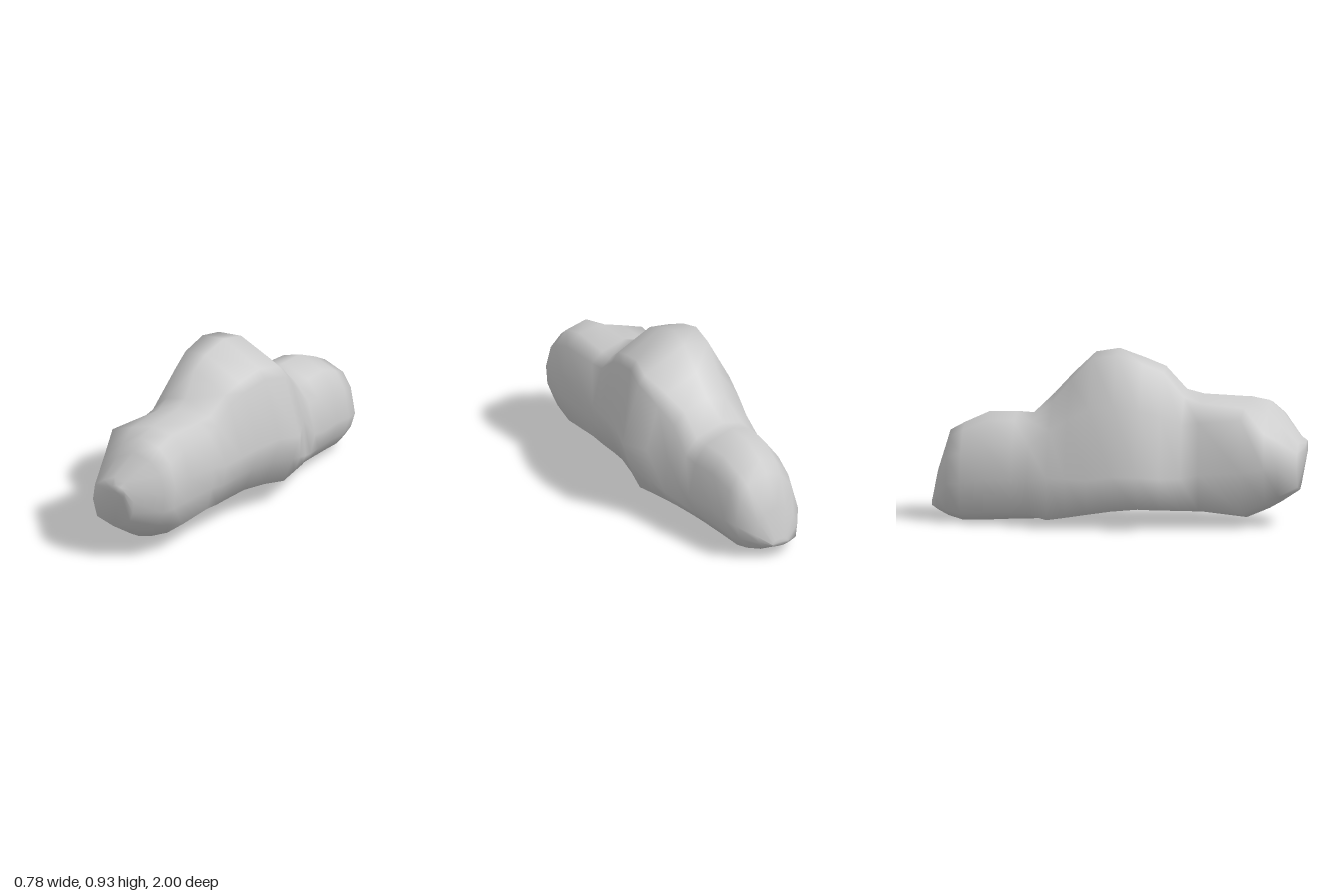
import * as THREE from 'three';

const stone = new THREE.MeshStandardMaterial({ color: 0xcccccc });
stone.name = 'pale grey stone';

// Cross-section outlines, counter-clockwise from the right, in a unit box
const outlines = [
  // nose
  [[1, .6], [.93, .82], [.78, .95], [.53, 1], [.28, .88], [.05, .73],
    [0, .42], [.1, .1], [.5, 0], [.72, .08], [.9, .2], [.98, .38]],
  // front lobe
  [[1, .63], [.94, .88], [.78, .97], [.53, 1], [.26, .93], [.01, .86],
    [.02, .42], [.06, .08], [.5, 0], [.72, .08], [.92, .2], [.98, .42]],
  // central hump
  [[1, .43], [.87, .81], [.82, .87], [.5, 1], [.31, .98], [.13, .68],
    [0, .25], [.04, .03], [.45, 0], [.68, .02], [.86, .09], [.94, .26]],
  // shoulder behind the hump
  [[.98, .58], [.91, .84], [.8, .94], [.57, 1], [.38, .95], [.17, .74],
    [0, .38], [0, .04], [.42, 0], [.81, .06], [.97, .18], [1, .26]],
  // rear lobe
  [[1, .42], [.93, .74], [.8, .91], [.5, 1], [.28, .94], [.1, .73],
    [0, .42], [.04, .1], [.32, 0], [.6, .02], [.82, .09], [.93, .23]],
];

// Sections from front to back: z, left, right, bottom, top, outline blend
const sections = [
  [1, -.05, .06, .37, .45, 0],
  [.97, -.17, .1, .19, .48, 0],
  [.87, -.21, .23, .12, .6, 0],
  [.8, -.235, .25, .08, .66, .1],
  [.68, -.26, .25, .03, .68, 1],
  [.45, -.26, .25, .055, .69, 1.3],
  [.36, -.29, .262, .065, .715, 1.6],
  [.25, -.345, .287, .08, .84, 1.95],
  [.14, -.388, .315, .09, .885, 2],
  [0, -.39, .35, .075, .93, 2],
  [-.13, -.39, .388, .055, .905, 2],
  [-.25, -.375, .32, .035, .79, 2.5],
  [-.35, -.36, .262, .02, .68, 3],
  [-.46, -.325, .245, .018, .575, 3.8],
  [-.55, -.305, .238, .015, .58, 4],
  [-.7, -.28, .215, .005, .575, 4],
  [-.83, -.255, .195, 0, .515, 4],
  [-.91, -.22, .175, .02, .47, 4],
  [-.965, -.18, .08, .05, .28, 4],
  [-1, -.1, 0, .07, .11, 4],
];

function boulderGeometry() {
  const positions = [], index = [], n = outlines[0].length;
  const lerp = THREE.MathUtils.lerp;

  for (const [z, x0, x1, y0, y1, blend] of sections) {
    const k = Math.min(Math.floor(blend), outlines.length - 2), t = blend - k;
    for (let j = 0; j < n; j++) {
      const u = lerp(outlines[k][j][0], outlines[k + 1][j][0], t);
      const v = lerp(outlines[k][j][1], outlines[k + 1][j][1], t);
      positions.push(lerp(x0, x1, u), lerp(y0, y1, v), z);
    }
  }

  // Skin between neighbouring sections
  for (let i = 0; i < sections.length - 1; i++) {
    for (let j = 0; j < n; j++) {
      const a = i * n + j, b = i * n + (j + 1) % n, c = a + n, d = b + n;
      index.push(a, c, b, b, c, d);
    }
  }

  // Close both ends with fans
  const last = (sections.length - 1) * n, front = positions.length / 3;
  for (const s of [sections[0], sections[sections.length - 1]]) {
    positions.push((s[1] + s[2]) / 2, (s[3] + s[4]) / 2, s[0]);
  }
  for (let j = 0; j < n; j++) {
    const next = (j + 1) % n;
    index.push(front, j, next, front + 1, last + next, last + j);
  }

  const geometry = new THREE.BufferGeometry();
  geometry.setAttribute('position', new THREE.Float32BufferAttribute(positions, 3));
  geometry.setIndex(index);
  geometry.computeVertexNormals();
  return geometry;
}

export function createModel() {
  const group = new THREE.Group();
  group.name = 'rock';
  const boulder = new THREE.Mesh(boulderGeometry(), stone);
  boulder.name = 'boulder';
  group.add(boulder);
  return group;
}
